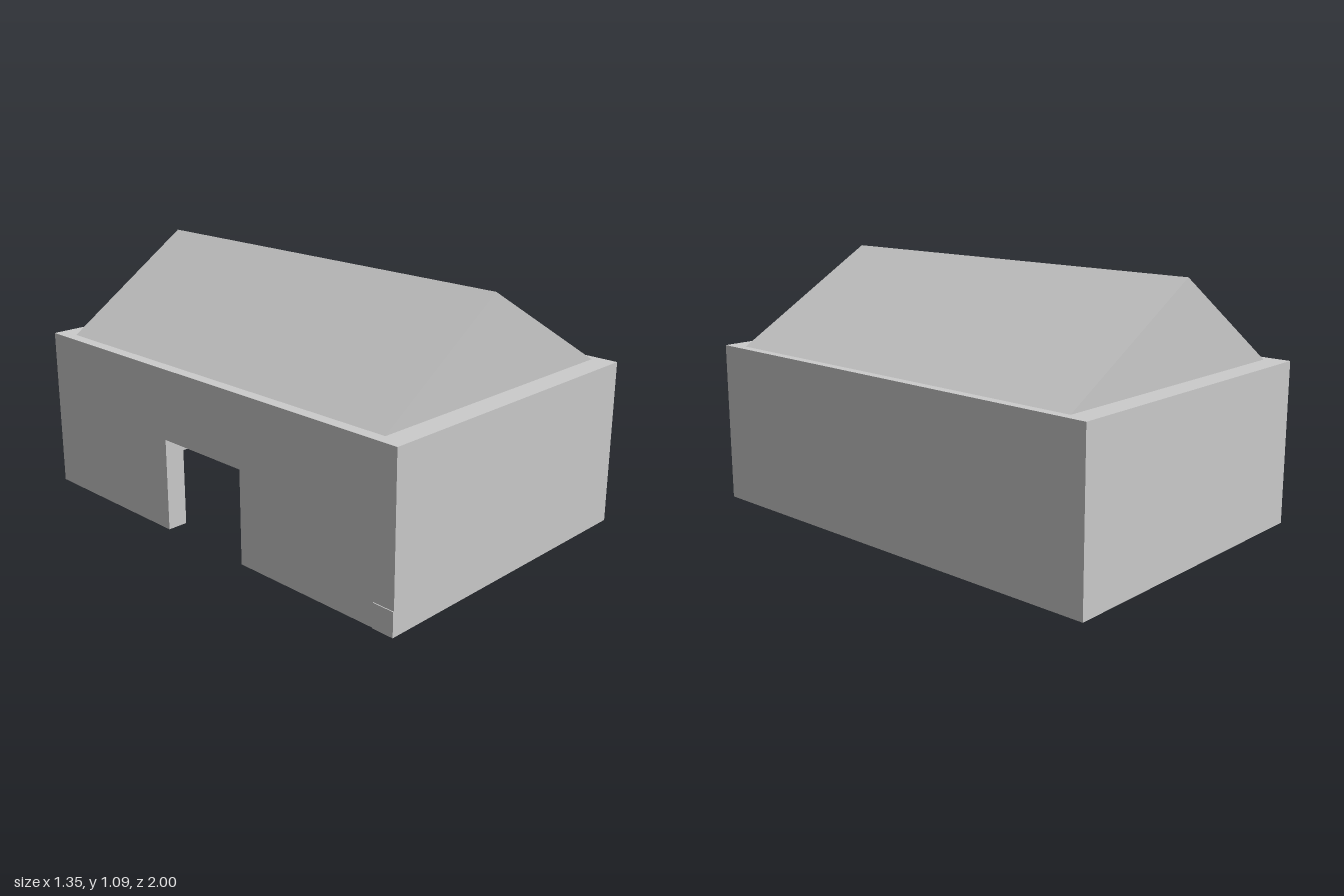
import * as THREE from 'three';

const material = new THREE.MeshStandardMaterial({ color: 0xcccccc, flatShading: true });

const W = 0.673, IN_X = 0.585;   // outer and inner half width
const L = 1.0, IN_Z = 0.905;     // outer and inner half length
const WALL_H = 0.695;

function add(group, name, geometry, x = 0, y = 0, z = 0) {
  const mesh = new THREE.Mesh(geometry, material);
  mesh.name = name;
  mesh.position.set(x, y, z);
  group.add(mesh);
}

function extrude(points, depth) {
  const shape = new THREE.Shape(points.map(([x, y]) => new THREE.Vector2(x, y)));
  return new THREE.ExtrudeGeometry(shape, { depth, bevelEnabled: false });
}

export function createModel() {
  const house = new THREE.Group();
  house.name = 'house';

  // End walls
  for (const [name, side] of [['frontWall', 1], ['backWall', -1]]) {
    add(house, name, new THREE.BoxGeometry(2 * W, WALL_H, L - IN_Z),
      0, WALL_H / 2, side * (L + IN_Z) / 2);
  }

  // Plain left wall
  add(house, 'leftWall', new THREE.BoxGeometry(W - IN_X, WALL_H, 2 * IN_Z),
    (W + IN_X) / 2, WALL_H / 2, 0);

  // Right wall with a doorway open to the ground, drawn in z and y
  const doorWall = extrude([
    [-IN_Z, 0], [-0.23, 0], [-0.23, 0.395], [0.22, 0.395], [0.22, 0],
    [IN_Z, 0], [IN_Z, WALL_H], [-IN_Z, WALL_H],
  ], W - IN_X).rotateY(-Math.PI / 2);
  add(house, 'doorWall', doorWall, -IN_X, 0, 0);

  // Low corner block, just proud of the door wall
  add(house, 'cornerBlock', new THREE.BoxGeometry(0.05, 0.1, L - IN_Z),
    -0.652, 0.05, (L + IN_Z) / 2);

  // Off-centre gable roof, with a flat ceiling and sloped sides beneath
  add(house, 'roof', extrude([
    [IN_X, WALL_H], [0.635, WALL_H], [-0.042, 1.087], [-0.625, WALL_H],
    [-IN_X, WALL_H], [-IN_X, 0.595], [-0.46, 0.67], [0.48, 0.67], [IN_X, 0.61],
  ], 2 * IN_Z), 0, 0, -IN_Z);

  return house;
}
